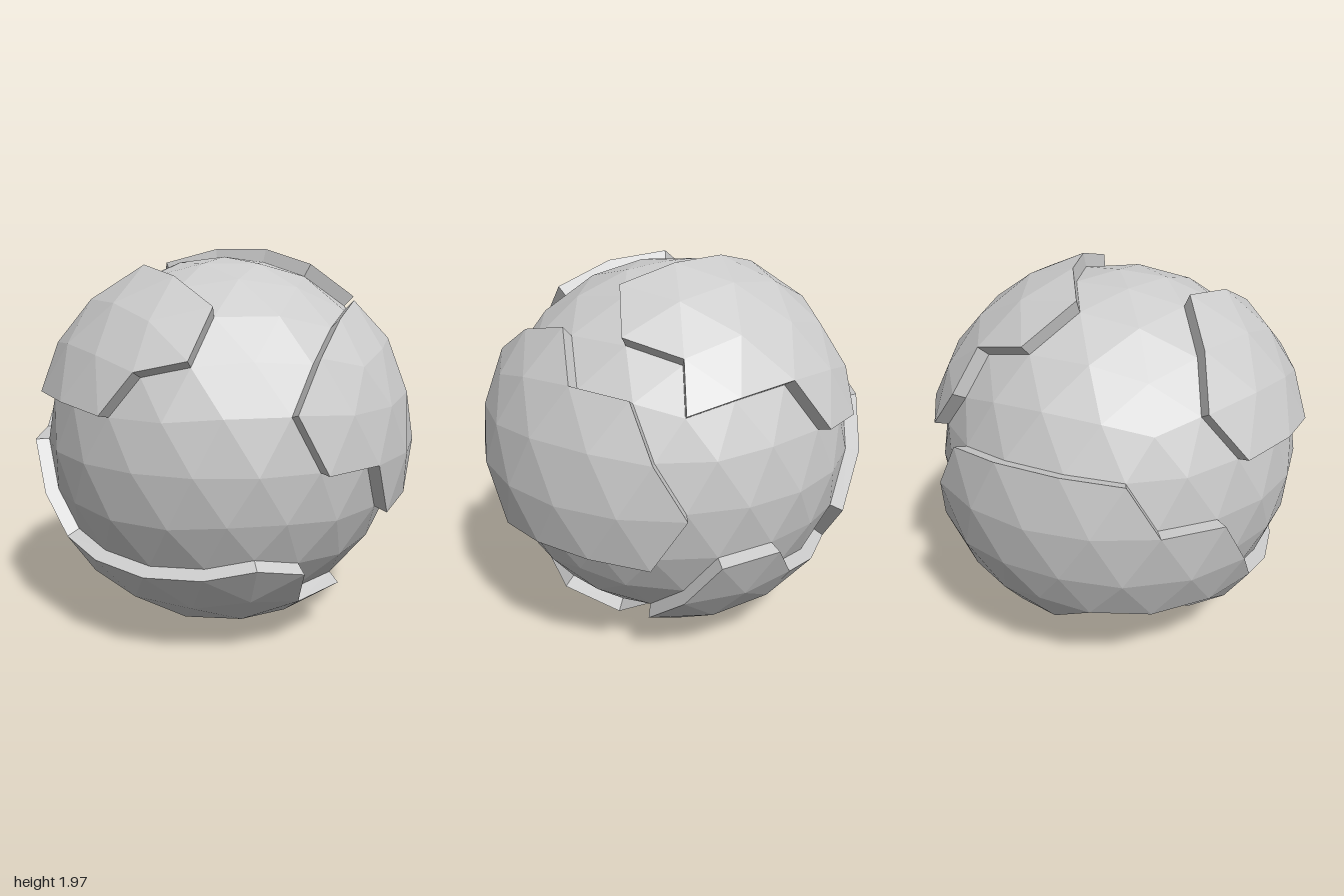
import * as THREE from 'three';
import { mergeVertices } from 'three/addons/utils/BufferGeometryUtils.js';

const OCEAN_RADIUS = 0.93, LAND_RADIUS = 1;

// Latitudes of the icosphere's vertex rows, south pole to north pole
const ROW_LAT = [-90, -75, -60, -44, -29, -15, 0, 15, 29, 44, 60, 75, 90];

// Coastlines as [row, azimuth in degrees], anticlockwise seen from outside
const COASTS = {
  southernLand: [
    [4, 18], [4, 36], [4, 54], [4, 72], [4, 90], [4, 108], [5, 117], [6, 126], [6, 144],
    [7, 153], [7, 171], [7, 189], [7, 207], [6, 216], [5, 225], [4, 216], [4, 234], [4, 252],
    [5, 261], [5, 279], [4, 288], [3, 302], [2, 288], [2, 252], [3, 230], [3, 202], [3, 180],
    [4, 162], [4, 144], [4, 126], [3, 108], [2, 108], [1, 108], [0, 0], [1, 324], [2, 324],
    [3, 346], [3, 14],
  ],
  leftLand: [
    [8, 306], [8, 324], [9, 338], [9, 0], [8, 18], [7, 27], [6, 18], [6, 0],
    [5, 351], [5, 333], [5, 315], [5, 297], [6, 288], [7, 297],
  ],
  frontLand: [
    [7, 117], [7, 99], [7, 81], [8, 72], [8, 54], [9, 50], [10, 72], [10, 108], [9, 122], [8, 126],
  ],
  northernLand: [
    [10, 180], [11, 216], [11, 288], [10, 324], [9, 310], [9, 288], [8, 288], [8, 270],
    [8, 252], [7, 243], [7, 225], [8, 216], [9, 216], [9, 194],
  ],
};

// Unit icosphere with a vertex at each pole, as shared points and triangles
function makeGrid() {
  let g = new THREE.IcosahedronGeometry(1, 3);
  g.deleteAttribute('normal');
  g.deleteAttribute('uv');
  g = mergeVertices(g, 1e-3);
  g.rotateX(-Math.atan((1 + Math.sqrt(5)) / 2)).rotateY(Math.PI / 2);
  const points = [], faces = [], edgeFace = new Map();
  for (let i = 0; i < g.attributes.position.count; i++)
    points.push(new THREE.Vector3().fromBufferAttribute(g.attributes.position, i).normalize());
  for (let i = 0; i < g.index.count; i += 3) {
    const f = [0, 1, 2].map(k => g.index.getX(i + k));
    f.forEach((a, k) => edgeFace.set(a + '_' + f[(k + 1) % 3], faces.length));
    faces.push(f);
  }
  return { points, faces, edgeFace };
}

// Grid vertex closest to a row and azimuth
function nearest(points, [row, azimuth]) {
  const lat = THREE.MathUtils.degToRad(ROW_LAT[row]), az = THREE.MathUtils.degToRad(azimuth);
  const d = new THREE.Vector3(Math.cos(lat) * Math.cos(az), Math.sin(lat), Math.cos(lat) * Math.sin(az));
  let best = 0;
  points.forEach((p, i) => { if (p.dot(d) > points[best].dot(d)) best = i; });
  return best;
}

function meshFrom(name, corners, material) {
  const g = new THREE.BufferGeometry().setFromPoints(corners);
  g.computeVertexNormals();
  const mesh = new THREE.Mesh(g, material);
  mesh.name = name;
  return mesh;
}

// Raised land: the faces inside a coastline, plus the cliffs along it
function makeLand(name, coast, { points, faces, edgeFace }, material) {
  const loop = coast.map(c => nearest(points, c));
  const edges = loop.map((a, i) => [a, loop[(i + 1) % loop.length]]);
  const shore = new Set(edges.map(e => e.join('_')));
  const low = i => points[i].clone().multiplyScalar(OCEAN_RADIUS);
  const high = i => points[i].clone().multiplyScalar(LAND_RADIUS);
  const corners = [];

  // Spread inland from the coast without crossing it
  const inside = new Set(), queue = edges.map(e => edgeFace.get(e.join('_')));
  while (queue.length) {
    const f = queue.pop();
    if (f === undefined || inside.has(f)) continue;
    inside.add(f);
    faces[f].forEach((a, k) => {
      const b = faces[f][(k + 1) % 3];
      if (!shore.has(a + '_' + b)) queue.push(edgeFace.get(b + '_' + a));
    });
  }
  inside.forEach(f => corners.push(...faces[f].map(high)));

  // Cliffs
  for (const [a, b] of edges)
    corners.push(low(a), low(b), high(b), low(a), high(b), high(a));
  return meshFrom(name, corners, material);
}

export function createModel() {
  const model = new THREE.Group();
  model.name = 'planet';
  const material = new THREE.MeshStandardMaterial({ color: 0xcccccc, flatShading: true });
  const grid = makeGrid();

  // Ocean sphere
  const ocean = grid.faces.flat().map(i => grid.points[i].clone().multiplyScalar(OCEAN_RADIUS));
  model.add(meshFrom('ocean', ocean, material));

  // Continents
  for (const [name, coast] of Object.entries(COASTS))
    model.add(makeLand(name, coast, grid, material));

  model.children.forEach(m => { m.position.y = LAND_RADIUS; });
  return model;
}
